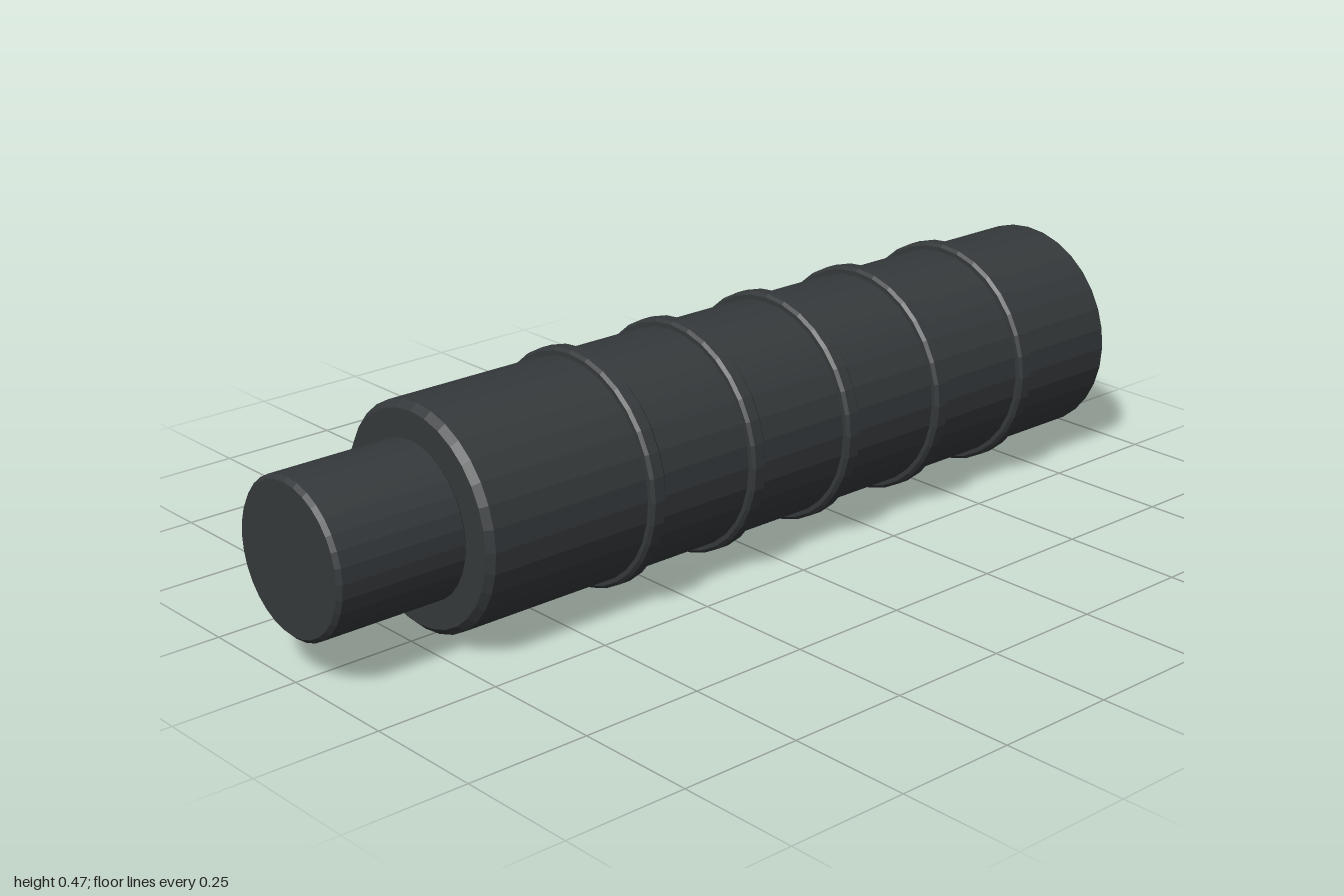
import * as THREE from 'three';

const AXIS_Y = 0.235;
const dark = new THREE.MeshStandardMaterial({ color: 0x35393b, flatShading: true });

// Solid round section along z with chamfered rims
function chamferedDrum(name, z0, z1, radius, chamfer, segments = 32) {
  const profile = [
    [0, z0], [radius - chamfer, z0], [radius, z0 + chamfer],
    [radius, z1 - chamfer], [radius - chamfer, z1], [0, z1],
  ].map(([r, z]) => new THREE.Vector2(r, z));
  const geometry = new THREE.LatheGeometry(profile, segments);
  geometry.rotateX(Math.PI / 2);
  const mesh = new THREE.Mesh(geometry, dark);
  mesh.name = name;
  mesh.position.y = AXIS_Y;
  return mesh;
}

export function createModel() {
  const model = new THREE.Group();
  model.name = 'ribbedGrip';

  // Main cylinder and narrower front plug
  model.add(chamferedDrum('body', -0.92, 0.73, 0.22, 0.013));
  model.add(chamferedDrum('frontPlug', 0.725, 1, 0.153, 0.008));

  // Evenly spaced raised bands
  for (let i = 0; i < 5; i++) {
    const z = 0.35 - i * 0.25;
    model.add(chamferedDrum(`gripRing${i + 1}`, z - 0.018, z + 0.018, 0.235, 0.006));
  }

  // Small rear pin, sunk into the body
  const pinGeometry = new THREE.CylinderGeometry(0.041, 0.041, 0.1, 16);
  pinGeometry.rotateX(Math.PI / 2);
  const pin = new THREE.Mesh(pinGeometry, dark);
  pin.name = 'rearPin';
  pin.position.set(0, AXIS_Y, -0.95);
  model.add(pin);

  return model;
}
